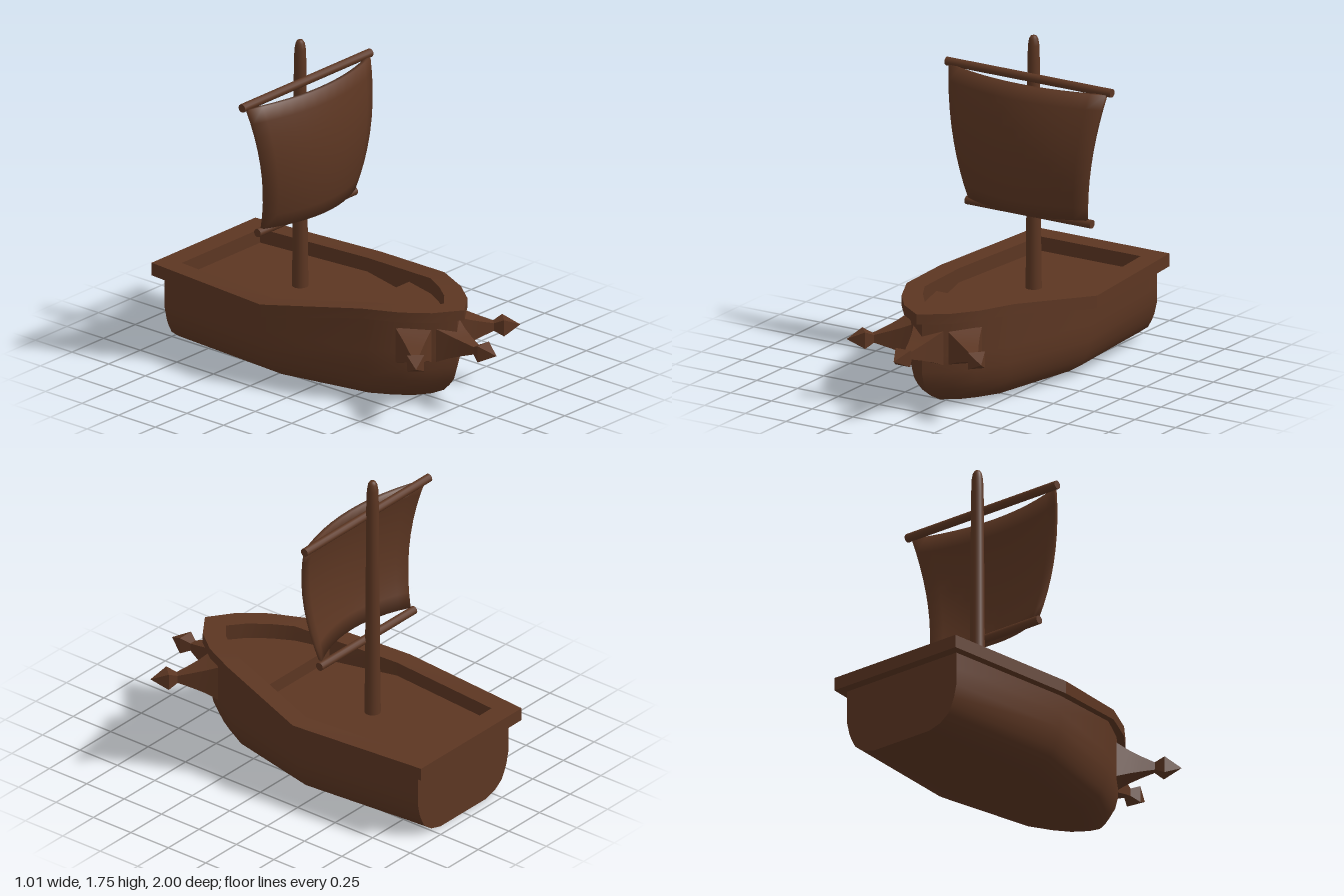
import * as THREE from 'three';
import { toCreasedNormals } from 'three/addons/utils/BufferGeometryUtils.js';

const wood = new THREE.MeshStandardMaterial({ color: 0x5c3622, side: THREE.DoubleSide });
wood.name = 'brown wood';

// Plan half-outlines from stern to bow as [x, z]
const HULL = [[0.37, -0.945], [0.44, -0.2], [0.295, 0.36], [0.205, 0.53], [0.115, 0.65], [0, 0.73]];
const RIM_OUT = [[0.41, -1], [0.48, -0.2], [0.33, 0.36], [0.24, 0.55], [0.14, 0.68], [0, 0.78]];
const RIM_IN = [[0.31, -0.88], [0.37, -0.2], [0.22, 0.36], [0.16, 0.47], [0.085, 0.57], [0, 0.64]];
const DECK = 0.383, FOREDECK = 0.455;

// Complete a half-outline by mirroring it across x = 0
const mirror = (half) => [...half, ...half.slice(0, -1).reverse().map(([x, z]) => [-x, z])];

// Height that stays low aft and rises towards the bow
const sheer = (z, low, high) => low + (high - low) * THREE.MathUtils.clamp((z + 0.2) / 0.56, 0, 1);

// Skin closed loops of [x, y, z] points, listed from bottom to top
function loft(loops, crease) {
  const n = loops[0].length;
  const index = [];
  for (let i = 0; i < loops.length - 1; i++) {
    for (let j = 0; j < n; j++) {
      const k = (j + 1) % n;
      const a = i * n + j, b = i * n + k, c = a + n, d = b + n;
      index.push(a, c, b, b, c, d);
    }
  }
  const geo = new THREE.BufferGeometry();
  geo.setAttribute('position', new THREE.Float32BufferAttribute(loops.flat(2), 3));
  geo.setIndex(index);
  return toCreasedNormals(geo, crease);
}

function hullGeometry() {
  // [height, width factor, bow position]
  const levels = [[0, 0, 0.47], [0, 0.5, 0.47], [0.02, 0.7, 0.56], [0.06, 0.85, 0.64],
    [0.1, 0.91, 0.68], [0.14, 0.955, 0.71], [0.21, 1, 0.73], [0.3, 1, 0.73]];
  const loops = levels.map(([y, f, bow]) => mirror(HULL).map(([x, z]) =>
    [x * f, y, z > 0.2 ? 0.2 + (z - 0.2) * (bow - 0.2) / 0.53 : z]));
  loops.push(mirror(HULL).map(([x, z]) => [x, sheer(z, 0.39, 0.485), z]));
  return loft(loops, 0.65);
}

// Gunwale: underside out from the hull, outer face, top and inner wall
function rimGeometry() {
  const ring = (half, low, high) => mirror(half).map(([x, z]) => [x, sheer(z, low, high), z]);
  return loft([
    ring(HULL, 0.39, 0.485),
    ring(RIM_OUT, 0.39, 0.485),
    ring(RIM_OUT, 0.46, 0.54),
    ring(RIM_IN, 0.46, 0.54),
    ring(RIM_IN, DECK - 0.01, DECK - 0.01),
  ], 0.3);
}

// Flat deck board whose top lies at y
function deckGeometry(half, y, depth) {
  const shape = new THREE.Shape(mirror(half).map(([x, z]) => new THREE.Vector2(x, z)));
  return new THREE.ExtrudeGeometry(shape, { depth, bevelEnabled: false })
    .rotateX(Math.PI / 2).translate(0, y, 0);
}

// Thick soft-edged cloth, wider at the top and bellied forwards
function sailGeometry() {
  const geo = new THREE.BoxGeometry(2, 2, 1, 12, 9, 1);
  const p = geo.attributes.position;
  for (let i = 0; i < p.count; i++) {
    const u = p.getX(i), v = p.getY(i);
    const belly = 0.092 * (1 - u * u) + 0.055 * (1 - v * v);
    p.setXYZ(i, u * (0.422 + 0.06 * v), 1.175 + 0.35 * v, -0.287 + belly + p.getZ(i) * 0.022);
  }
  return toCreasedNormals(geo, Math.PI);
}

// Square spike with a flared base, thin neck and pointed head, along +z
function spikeGeometry() {
  const profile = [[0, 0], [0.095, 0], [0.064, 0.07], [0.043, 0.13], [0.021, 0.2], [0.045, 0.25], [0, 0.34]]
    .map(([r, s]) => new THREE.Vector2(r * Math.SQRT2, s));
  return toCreasedNormals(new THREE.LatheGeometry(profile, 4).rotateY(Math.PI / 4).rotateX(Math.PI / 2), 0.1);
}

export function createModel() {
  const model = new THREE.Group();
  model.name = 'sailing boat';
  const add = (name, geo, x = 0, y = 0, z = 0) => {
    const mesh = new THREE.Mesh(geo, wood);
    mesh.name = name;
    mesh.position.set(x, y, z);
    model.add(mesh);
    return mesh;
  };

  // Body
  add('hull', hullGeometry());
  add('rim', rimGeometry());
  add('deck', deckGeometry(RIM_IN, DECK, 0.02));
  add('foredeck', deckGeometry([[0.271, 0.17], ...RIM_IN.slice(2)], FOREDECK, 0.08));

  // Mast with a rounded tip
  const mast = [[0.043, DECK], [0.04, 0.6], [0.033, 1.6], [0.03, 1.7], [0.024, 1.735], [0.015, 1.75], [0, 1.752]];
  add('mast', new THREE.LatheGeometry(mast.map(([r, y]) => new THREE.Vector2(r, y)), 16), 0, 0, -0.34);

  // Spars and sail
  for (const [name, y, length] of [['upperYard', 1.535, 1.015], ['lowerYard', 0.803, 0.77]]) {
    add(name, new THREE.CylinderGeometry(0.023, 0.023, length, 12).rotateZ(Math.PI / 2), 0, y, -0.3);
  }
  add('sail', sailGeometry());

  // Bow spikes
  const spike = spikeGeometry();
  add('centreSpike', spike, 0, 0.342, 0.66);
  for (const side of [1, -1]) {
    add(side > 0 ? 'leftSpike' : 'rightSpike', spike, side * 0.162, 0.342, 0.577).rotation.y = side * 0.83;
  }
  return model;
}
